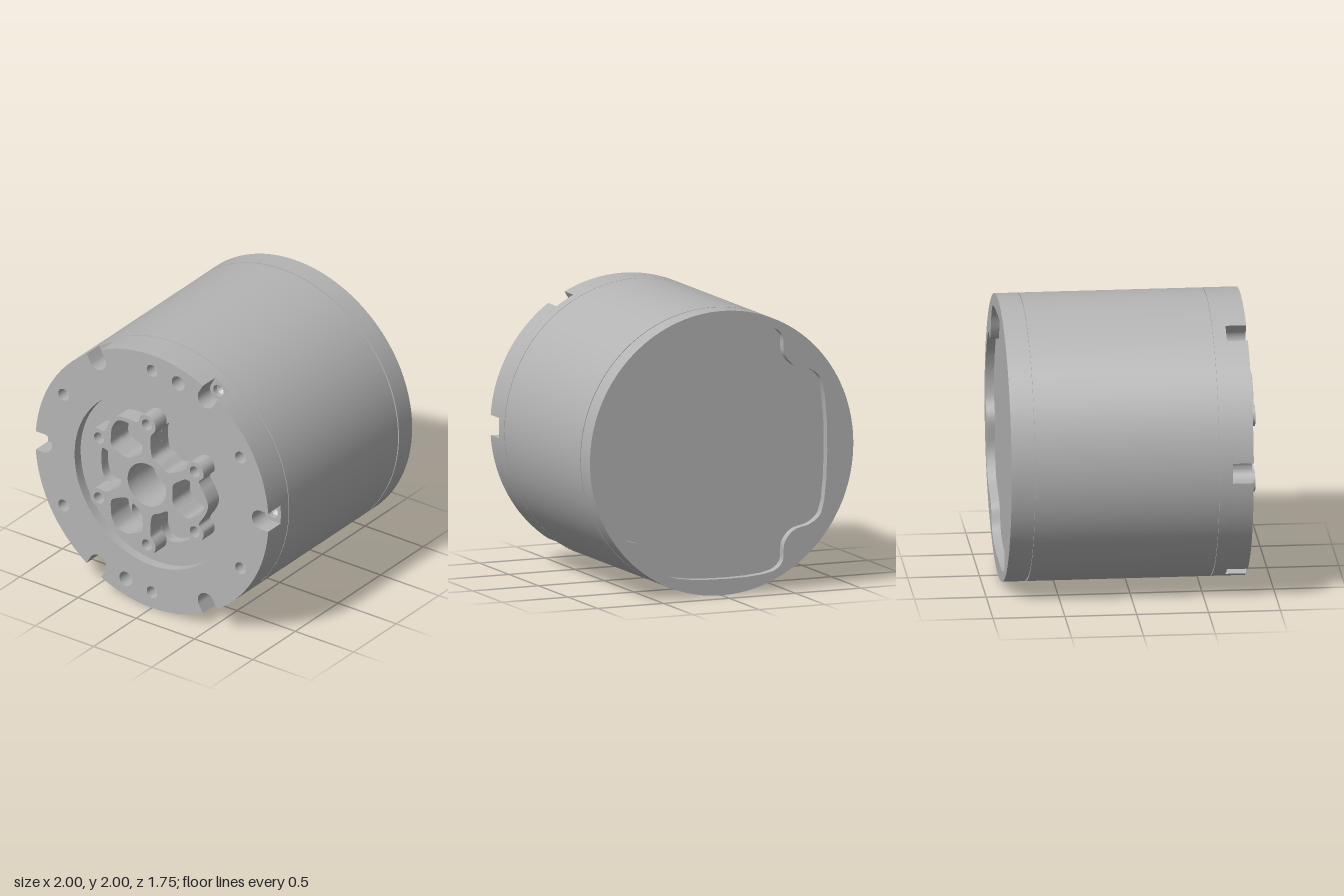
import * as THREE from 'three';
import { toCreasedNormals } from 'three/addons/utils/BufferGeometryUtils.js';

const RAD = Math.PI / 180;
const polar = (r, deg) => new THREE.Vector2(r * Math.cos(deg * RAD), r * Math.sin(deg * RAD));
const V = (x, y) => new THREE.Vector2(x, y);
const steps = (start, step, n) => Array.from({ length: n }, (_, i) => start + i * step);

// Closed smooth loop through a few points
function smoothLoop(points, n) {
  const curve = new THREE.CatmullRomCurve3(points.map(p => new THREE.Vector3(p.x, p.y, 0)), true, 'centripetal');
  return curve.getPoints(n).slice(0, -1).map(p => V(p.x, p.y));
}
// Complete a half profile by mirroring it across the x axis
function mirrored(half) {
  const other = half.filter(p => Math.abs(p.y) > 1e-6).map(p => V(p.x, -p.y)).reverse();
  return [...half, ...other];
}
const turned = (points, deg) => points.map(p => p.clone().rotateAround(V(0, 0), deg * RAD));

function circle(r, c = V(0, 0), Type = THREE.Path) {
  const p = new Type();
  p.absarc(c.x, c.y, r, 0, Math.PI * 2, false);
  return p;
}

export function createModel() {
  const model = new THREE.Group();
  model.name = 'motorHousing';
  const metal = new THREE.MeshStandardMaterial({ color: 0xb4b4b4, side: THREE.DoubleSide });
  metal.name = 'grey metal';

  const add = (name, geometry) => {
    const mesh = new THREE.Mesh(geometry, metal);
    mesh.name = name;
    model.add(mesh);
  };
  const plate = (name, shape, holes, z0, z1, segments = 48) => {
    shape.holes.push(...holes);
    const g = new THREE.ExtrudeGeometry(shape, { depth: z1 - z0, bevelEnabled: false, curveSegments: segments });
    g.translate(0, 0, z0);
    add(name, toCreasedNormals(g, 0.6));
  };
  const drum = (name, r, z0, z1) => {
    const g = new THREE.CylinderGeometry(r, r, z1 - z0, 128);
    g.rotateX(Math.PI / 2).translate(0, 0, (z0 + z1) / 2);
    add(name, g);
  };
  // Conical bottom of a drilled hole
  const drillTip = (name, c, r, z, depth) => {
    const g = new THREE.ConeGeometry(r, depth, 24, 1, true);
    g.rotateX(-Math.PI / 2).translate(c.x, c.y, z - depth / 2);
    add(name, g);
  };

  // Main body: the core shows only in the two thin grooves
  drum('core', 0.985, -0.8, 0.578);
  drum('bodySleeve', 1, -0.705, 0.572);
  drum('backCover', 1, -0.81, -0.715);

  // Back rim around the shallow recess
  const recess = [
    [.93, 0], [.93, .2], [.82, .44], [.7, .55], [.6, .53], [.55, .6], [.5, .73], [.42, .82], [.28, .86],
    [-.38, .86], [-.46, .8], [-.48, .66], [-.55, .58], [-.68, .54], [-.76, .46],
    [-.76, -.46], [-.68, -.54], [-.55, -.58], [-.48, -.66], [-.46, -.8], [-.38, -.86],
    [.33, -.86], [.45, -.8], [.52, -.66], [.62, -.6], [.75, -.55], [.86, -.38], [.86, -.12],
  ].map(p => V(...p));
  plate('backRim', circle(1, V(0, 0), THREE.Shape), [new THREE.Path(smoothLoop(recess, 160))], -0.87, -0.81, 64);

  // Hole positions
  const notchHoles = steps(0, 60, 6).map(a => polar(0.93, a));
  const faceHoles = steps(30, 60, 6).map(a => polar(0.877, a));
  const hubHoles = steps(30, 60, 6).map(a => polar(0.475, a));
  const pinHoles = steps(0, 120, 3).map(a => polar(0.42, a));
  const dowelHoles = [V(0.225, 0.85), V(-0.225, -0.845)];
  const drill = (list, r) => list.map(c => circle(r, c));

  // Front flange base: the floor of notches and pockets
  plate('flangeBase', circle(1, V(0, 0), THREE.Shape),
    [circle(0.165), ...drill(notchHoles, 0.045), ...drill(pinHoles, 0.07)], 0.578, 0.67, 64);

  // Front flange with six open screw notches
  const flange = new THREE.Shape();
  const w = 0.072, edge = Math.asin(w);
  notchHoles.forEach((c, k) => {
    const a = k * 60 * RAD;
    flange.absarc(c.x, c.y, w, a - Math.PI / 2, a + Math.PI / 2, true);
    flange.absarc(0, 0, 1, a + edge, a + Math.PI / 3 - edge, false);
  });
  plate('frontFlange', flange,
    [circle(0.665), ...drill(faceHoles, 0.045), ...drill(dowelHoles, 0.055)], 0.67, 0.815, 32);

  // Pockets: three closed ones in the hub, three open ones between its arms
  const closedHalf = [V(.22, 0), V(.225, .07), V(.28, .12), V(.345, .153), V(.415, .115), V(.46, .08), V(.495, 0)];
  const openHalf = [V(.22, 0), V(.22, .07), V(.26, .11), V(.37, .17), V(.42, .165), V(.465, .13), V(.485, 0)];
  const pockets = (half, start) => steps(start, 120, 3)
    .map(a => new THREE.Path(turned(smoothLoop(mirrored(half), 60), a)));

  // Sunken floor around the hub
  plate('recessFloor', circle(0.665, V(0, 0), THREE.Shape),
    [circle(0.165), ...pockets(closedHalf, 0), ...pockets(openHalf, 60)], 0.67, 0.745);

  // Hub with three lobed arms
  const armHalf = [[.525, 0], [.502, 10], [.48, 17], [.48, 21], [.53, 24], [.55, 30], [.53, 36],
    [.475, 39.1], [.43, 37.5], [.4, 34.9], [.282, 37], [.23, 42.4]];
  const arm = [...armHalf.slice(1).reverse().map(([r, a]) => polar(r, -a)),
    ...armHalf.map(([r, a]) => polar(r, a)), polar(.22, 60)];
  const hubOutline = steps(0, 120, 3).flatMap(a => turned(arm, a));
  plate('outputHub', new THREE.Shape(smoothLoop(hubOutline, 360)),
    [circle(0.165), ...pockets(closedHalf, 0), ...drill(hubHoles, 0.042)], 0.745, 0.875);

  // Drilled hole bottoms
  notchHoles.forEach(c => drillTip('notchHoleTip', c, 0.045, 0.63, 0.045));
  faceHoles.forEach(c => drillTip('faceHoleTip', c, 0.045, 0.73, 0.045));
  hubHoles.forEach(c => drillTip('hubHoleTip', c, 0.042, 0.795, 0.042));

  model.position.y = 1;
  return model;
}
